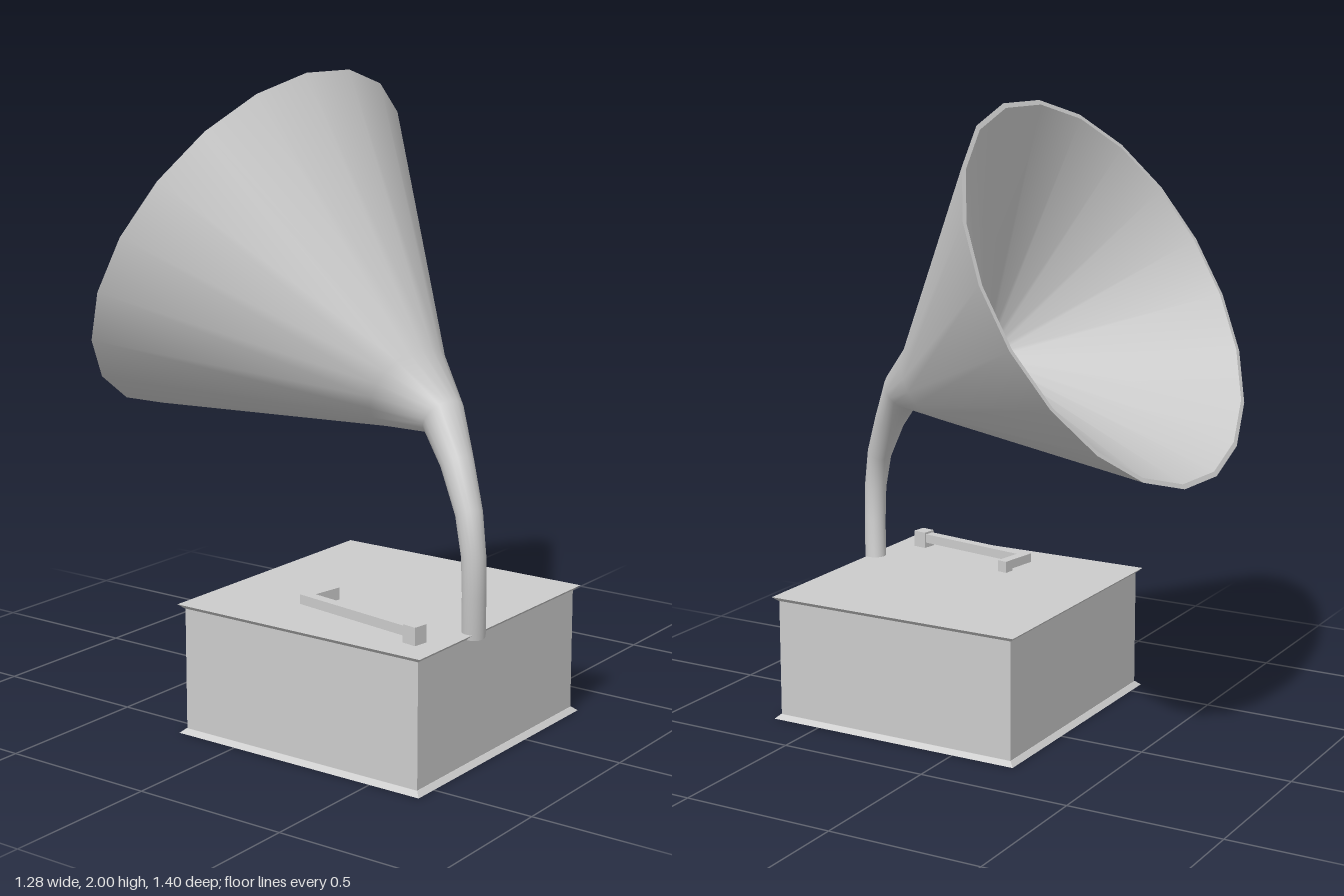
import * as THREE from 'three';

const SIDES = 20;
const PHASE = THREE.MathUtils.degToRad(7);
const V = (x, y, z) => new THREE.Vector3(x, y, z);

// Skin a run of circular rings { c: centre, n: axis, r: radius }
function loft(rings) {
  const pos = [], index = [], row = SIDES + 1;
  for (const { c, n, r } of rings) {
    const axis = n.clone().normalize();
    const u = V(1, 0, 0).addScaledVector(axis, -axis.x).normalize();
    const v = axis.clone().cross(u);
    for (let j = 0; j <= SIDES; j++) {
      const a = PHASE + ((j % SIDES) / SIDES) * Math.PI * 2;
      const p = c.clone().addScaledVector(u, r * Math.cos(a)).addScaledVector(v, r * Math.sin(a));
      pos.push(p.x, p.y, p.z);
    }
  }
  for (let i = 0; i < rings.length - 1; i++) {
    for (let j = 0; j < SIDES; j++) {
      const a = i * row + j, b = a + 1, c = a + row, d = c + 1;
      index.push(a, b, c, b, d, c);
    }
  }
  const g = new THREE.BufferGeometry();
  g.setAttribute('position', new THREE.Float32BufferAttribute(pos, 3));
  g.setIndex(index);
  g.computeVertexNormals();
  // Match the normals across the seam
  const nor = g.attributes.normal;
  for (let i = 0; i < rings.length; i++) {
    const a = i * row, b = a + SIDES;
    const s = V(0, 0, 0).fromBufferAttribute(nor, a).add(V(0, 0, 0).fromBufferAttribute(nor, b)).normalize();
    nor.setXYZ(a, s.x, s.y, s.z);
    nor.setXYZ(b, s.x, s.y, s.z);
  }
  return g;
}

export function createModel() {
  const model = new THREE.Group();
  model.name = 'hornPlayer';
  const grey = new THREE.MeshStandardMaterial({ color: 0xcccccc });
  const add = (name, geometry, parent = model) => {
    const mesh = new THREE.Mesh(geometry, grey);
    mesh.name = name;
    parent.add(mesh);
    return mesh;
  };
  const box = (name, size, at, parent) =>
    add(name, new THREE.BoxGeometry(...size), parent).position.set(...at);

  // Cabinet with thin flared edges at top and bottom
  const cx = -0.13, cz = 0.228;
  box('cabinet', [0.86, 0.39, 0.855], [cx, 0.205, cz]);
  for (const [name, y, flip] of [['baseFlange', 0.008, 1], ['topFlange', 0.404, -1]]) {
    const g = new THREE.BoxGeometry(0.895, 0.014, 0.889);
    const p = g.attributes.position;
    for (let i = 0; i < p.count; i++) {
      if (p.getY(i) * flip > 0) p.setXYZ(i, p.getX(i) * 0.965, p.getY(i), p.getZ(i) * 0.965);
    }
    g.computeVertexNormals();
    add(name, g).position.set(cx, y - 0.001 * flip, cz);
  }

  // Curved neck widening into the horn
  const mouthAxis = V(0.05, 0.502, -0.863);
  const mouth = V(0, 1.445, -0.374);
  const path = [
    [-0.272, 0.4, 0.655, 0.036],
    [-0.29, 0.53, 0.667, 0.036],
    [-0.297, 0.65, 0.668, 0.037],
    [-0.288, 0.77, 0.645, 0.041],
    [-0.245, 0.9, 0.575, 0.05],
    [-0.2, 1.02, 0.495, 0.068],
    [-0.155, 1.085, 0.34, 0.145],
  ].map(([x, y, z, r]) => ({ c: V(x, y, z), r }));
  path.forEach((ring, i) => {
    const next = path[i + 1] ? path[i + 1].c : mouth;
    const prev = path[Math.max(i - 1, 0)].c;
    ring.n = next.clone().sub(prev);
  });
  path[6].n = mouth.clone().sub(path[6].c);
  const rimOuter = { c: mouth, n: mouthAxis, r: 0.646 };
  const rimInner = { c: mouth, n: mouthAxis, r: 0.63 };
  add('neckAndHorn', loft([...path, rimOuter]));
  add('hornRim', loft([rimOuter, rimInner]));

  // Inner bell, closed by a small disc at the throat
  const throat = { c: V(-0.06, 1.21, 0.07), n: mouthAxis, r: 0.045 };
  add('hornInside', loft([rimInner, throat]));
  add('throatDisc', loft([throat, { ...throat, r: 0.0001 }]));

  // Arm: post, long bar and a short sideways head
  const arm = new THREE.Group();
  arm.name = 'arm';
  arm.position.set(-0.457, 0, 0.573);
  arm.rotation.y = -0.16;
  model.add(arm);
  box('armPost', [0.048, 0.056, 0.048], [0, 0.439, 0], arm);
  box('armBar', [0.034, 0.03, 0.44], [0, 0.445, -0.24], arm);
  box('armCrossbar', [0.1, 0.03, 0.034], [0.067, 0.445, -0.443], arm);
  box('armHead', [0.034, 0.038, 0.034], [0.1, 0.441, -0.443], arm);

  return model;
}
